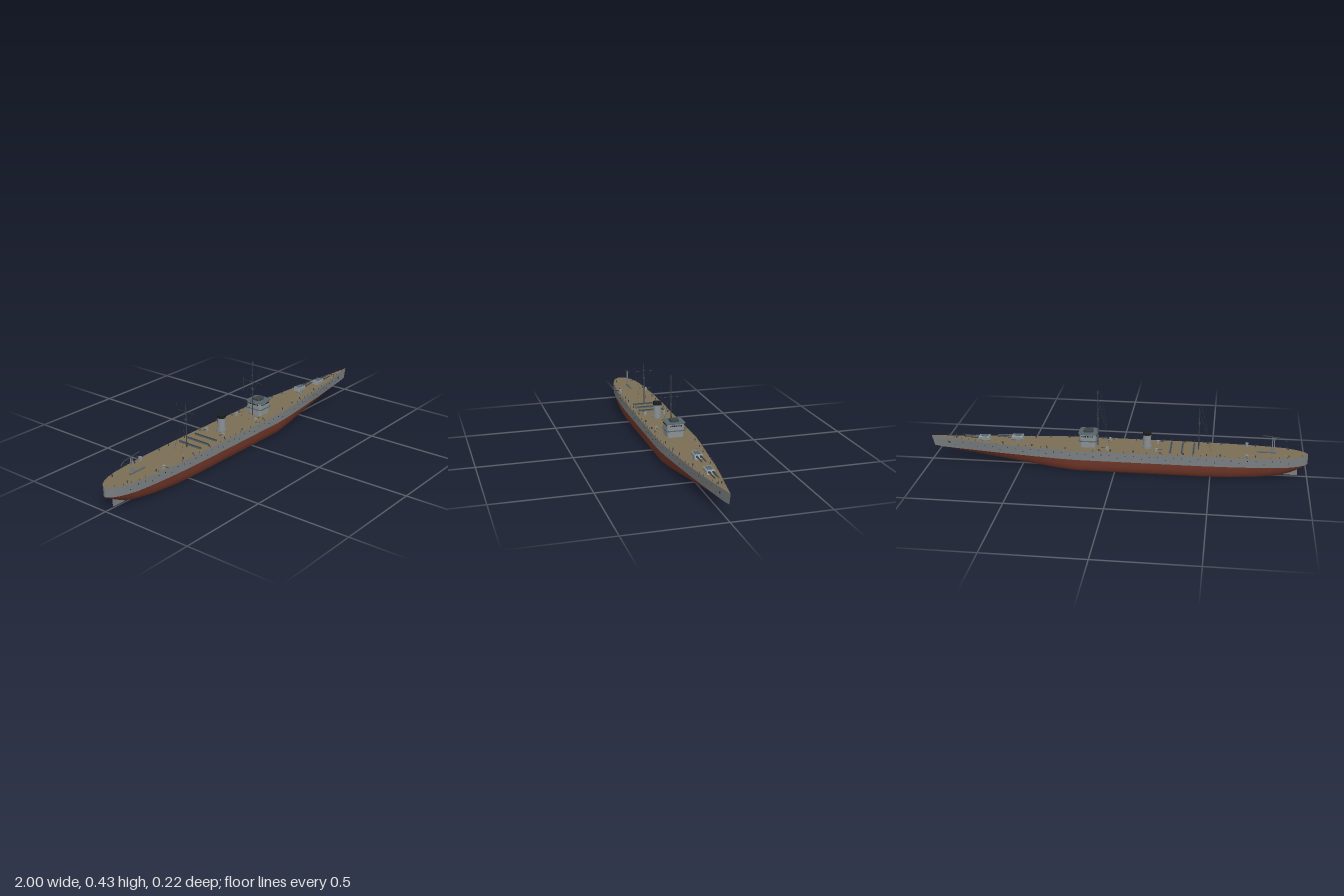
import * as THREE from 'three';
import { mergeGeometries } from 'three/addons/utils/BufferGeometryUtils.js';

const paint = (name, color, side = THREE.FrontSide) => {
  const m = new THREE.MeshStandardMaterial({ color, side });
  m.name = name;
  return m;
};

// Hull stations: x, half beam at deck, half beam at waterline, keel height, V-ness
const STATIONS = [
  [-1, 0, 0, 0.077, 0.6], [-0.995, 0.014, 0.012, 0.074, 0.6], [-0.98, 0.031, 0.028, 0.065, 0.55],
  [-0.95, 0.05, 0.047, 0.048, 0.5], [-0.91, 0.065, 0.062, 0.03, 0.45], [-0.86, 0.077, 0.075, 0.016, 0.35],
  [-0.75, 0.088, 0.087, 0.006, 0.2], [-0.6, 0.096, 0.096, 0.003, 0.05], [-0.45, 0.1, 0.1, 0.003, 0],
  [-0.1, 0.1, 0.1, 0.003, 0], [0.2, 0.1, 0.1, 0.003, 0], [0.3, 0.093, 0.092, 0.006, 0.1],
  [0.42, 0.08, 0.078, 0.012, 0.3], [0.52, 0.07, 0.066, 0.021, 0.45], [0.62, 0.06, 0.054, 0.032, 0.6],
  [0.74, 0.043, 0.036, 0.046, 0.8], [0.86, 0.023, 0.018, 0.064, 0.9], [0.94, 0.01, 0.007, 0.074, 1], [1, 0, 0, 0.081, 1],
];
const FULL = [[0, 0], [0.55, 0], [0.79, 0.09], [0.9, 0.28], [0.97, 0.6], [1, 1]];
const deckY = (x) => 0.128 + (x > 0.4 ? 0.009 * ((x - 0.4) / 0.6) ** 2 : 0);
const lineY = (s) => Math.max(0.077, s[3] + 0.0005);
const halfBeam = (x, col = 1) => {
  const i = Math.max(1, STATIONS.findIndex((s) => s[0] >= x));
  const a = STATIONS[i - 1], b = STATIONS[i];
  return THREE.MathUtils.lerp(a[col], b[col], (x - a[0]) / (b[0] - a[0]));
};

// Skin a surface over the stations; section(s) gives [y, z] points
function loft(section) {
  const pos = [], index = [];
  let n = 0;
  for (const s of STATIONS) {
    const pts = section(s);
    n = pts.length;
    for (const [y, z] of pts) {
      const rake = Math.max(0, s[0] - 0.9) * 2.6 * (deckY(s[0]) - y);
      pos.push(s[0] - rake, y, z);
    }
  }
  for (let i = 0; i < STATIONS.length - 1; i++) for (let j = 0; j < n - 1; j++) {
    const a = i * n + j, b = a + n;
    index.push(a, a + 1, b, b, a + 1, b + 1);
  }
  const g = new THREE.BufferGeometry();
  g.setAttribute('position', new THREE.Float32BufferAttribute(pos, 3));
  g.setIndex(index);
  g.computeVertexNormals();
  return g;
}

export function createModel() {
  const ship = new THREE.Group();
  ship.name = 'warship';
  const grey = paint('hullGrey', 0x7b7f81), red = paint('bottomRed', 0x73382a), wood = paint('deckWood', 0x7b6d54);
  const steel = paint('lightSteel', 0x8a9193), dark = paint('darkSteel', 0x3c4448), roof = paint('roofSlate', 0x56646a);
  const black = paint('black', 0x1b1d1f);

  const add = (name, geo, mat, x = 0, y = 0, z = 0, parent = ship) => {
    const m = new THREE.Mesh(geo, mat);
    m.name = name;
    m.position.set(x, y, z);
    parent.add(m);
    return m;
  };
  const box = (w, h, d) => new THREE.BoxGeometry(w, h, d);
  const cyl = (r1, r2, h, n = 16) => new THREE.CylinderGeometry(r1, r2, h, n);
  const rod = (a, b, r, n = 6, r2 = r) => {
    const A = new THREE.Vector3(...a), B = new THREE.Vector3(...b), d = B.clone().sub(A);
    const g = cyl(r2, r, d.length(), n);
    g.applyQuaternion(new THREE.Quaternion().setFromUnitVectors(new THREE.Vector3(0, 1, 0), d.normalize()));
    const c = A.add(B).multiplyScalar(0.5);
    return g.translate(c.x, c.y, c.z);
  };
  const group = (name, x, y, z) => {
    const g = new THREE.Group();
    g.name = name;
    g.position.set(x, y, z);
    ship.add(g);
    return g;
  };

  // Hull: red bottom, grey sides, wooden deck
  add('hullBottom', loft((s) => {
    const half = FULL.map(([u, v], j) => [
      THREE.MathUtils.lerp(s[3], lineY(s), THREE.MathUtils.lerp(v, j / 5, s[4])),
      s[2] * THREE.MathUtils.lerp(u, j / 5, s[4])]);
    return [...half.slice(1).reverse(), ...half.map(([y, z]) => [y, -z])];
  }), red);
  add('hullSideLeft', loft((s) => [[deckY(s[0]), s[1]], [lineY(s), s[2]]]), grey);
  add('hullSideRight', loft((s) => [[lineY(s), -s[2]], [deckY(s[0]), -s[1]]]), grey);
  add('deck', loft((s) => [[deckY(s[0]), -s[1]], [deckY(s[0]), s[1]]]), wood);

  // Rudder
  add('rudder', box(0.07, 0.045, 0.006), grey, -0.915, 0.033, 0);

  // Railing stanchions, portholes and anchors along both sides
  const posts = [], ports = [];
  for (const s of [-1, 1]) {
    for (let x = -0.97; x < 0.97; x += 0.04) {
      posts.push(box(0.0012, 0.01, 0.0012).translate(x, deckY(x) + 0.005, s * (halfBeam(x) - 0.002)));
    }
    for (let k = 0; k < 44; k++) {
      const x = -0.9 + k * 0.042, y = k % 3 ? 0.113 : 0.099;
      const z = THREE.MathUtils.lerp(halfBeam(x, 2), halfBeam(x), (y - 0.077) / 0.053);
      ports.push(cyl(0.0022, 0.0022, 0.003, 8).rotateX(Math.PI / 2).translate(x, y, s * z));
    }
    add('anchor', box(0.012, 0.012, 0.004), dark, 0.9, 0.108, s * 0.0145);
  }
  add('railPosts', mergeGeometries(posts), dark);
  add('portholes', mergeGeometries(ports), black);

  // Bridge tower with rounded plan
  const slab = (w, d, h, r) => {
    const p = new THREE.Shape(), a = w / 2, b = d / 2;
    p.moveTo(-a + r, -b).lineTo(a - r, -b).quadraticCurveTo(a, -b, a, -b + r).lineTo(a, b - r)
      .quadraticCurveTo(a, b, a - r, b).lineTo(-a + r, b).quadraticCurveTo(-a, b, -a, b - r)
      .lineTo(-a, -b + r).quadraticCurveTo(-a, -b, -a + r, -b);
    return new THREE.ExtrudeGeometry(p, { depth: h, bevelEnabled: false, curveSegments: 4 }).rotateX(-Math.PI / 2);
  };
  const bridge = group('bridge', 0.145, 0.127, 0);
  add('bridgeBase', slab(0.086, 0.09, 0.035, 0.016), steel, 0, 0, 0, bridge);
  add('bridgeWalkway', slab(0.1, 0.104, 0.004, 0.018), roof, 0, 0.034, 0, bridge);
  add('bridgeHouse', slab(0.088, 0.092, 0.035, 0.016), steel, 0, 0.038, 0, bridge);
  add('bridgeRoof', slab(0.1, 0.102, 0.004, 0.018), roof, 0, 0.072, 0, bridge);
  add('roofShelter', slab(0.05, 0.044, 0.01, 0.012), dark, 0, 0.076, 0, bridge);
  for (let k = -3; k <= 3; k++) {
    for (const s of [-1, 1]) {
      add('windowEnd', box(0.002, 0.007, 0.006), black, s * 0.044, 0.062, k * 0.0095, bridge);
      add('windowSide', box(0.006, 0.007, 0.002), black, k * 0.0092, 0.062, s * 0.046, bridge);
    }
  }

  // Funnel
  const funnel = group('funnel', -0.165, 0.127, 0);
  add('funnelBase', cyl(0.026, 0.028, 0.01, 20), grey, 0, 0.005, 0, funnel);
  add('funnelPipe', cyl(0.021, 0.021, 0.072, 20), steel, 0, 0.036, 0, funnel);
  add('funnelCap', cyl(0.023, 0.022, 0.016, 20), black, 0, 0.08, 0, funnel);

  // Masts with lookout, yard and thin rigging
  const mast = (name, x, top, yardY) => {
    const g = group(name, x, 0, 0);
    add('pole', rod([0, 0.127, 0], [0, top, 0], 0.0032, 8, 0.0015), dark, 0, 0, 0, g);
    add('lookout', cyl(0.006, 0.005, 0.01, 10), dark, 0, 0.275, 0, g);
    add('yard', rod([0, yardY, -0.06], [0, yardY, 0.06], 0.0009, 5), dark, 0, 0, 0, g);
    const lines = [];
    for (const s of [-1, 1]) {
      lines.push(rod([0, top - 0.02, 0], [-0.065, 0.13, s * 0.025], 0.0004, 4));
      lines.push(rod([-0.005, top - 0.01, s * 0.058], [-0.045, 0.225, s * 0.024], 0.0004, 4));
    }
    add('rigging', mergeGeometries(lines), dark, 0, 0, 0, g);
    return g;
  };
  const fore = mast('foreMast', 0.095, 0.415, 0.317);
  mast('aftMast', -0.435, 0.36, 0.317);
  for (const y of [0.412, 0.42, 0.427]) add('mastLamp', cyl(0.004, 0.004, 0.004, 8), dark, 0, y, 0, fore);

  // Twin main gun turrets, the rear one raised
  const turret = (x, y, lift) => {
    const g = group('mainTurret', x, y, 0);
    add('barbette', cyl(0.019, 0.02, lift, 20), grey, 0, lift / 2, 0, g);
    const p = new THREE.Shape();
    p.moveTo(-0.03, 0).lineTo(0.032, 0).lineTo(0.026, 0.014).lineTo(-0.026, 0.016).closePath();
    const house = new THREE.ExtrudeGeometry(p, { depth: 0.036, bevelEnabled: true, bevelSize: 0.003, bevelThickness: 0.003, bevelSegments: 1 });
    add('gunHouse', house, steel, 0, lift, -0.018, g);
    add('houseRoof', box(0.04, 0.002, 0.03), roof, -0.002, lift + 0.0185, 0, g);
    for (const s of [-1, 1]) {
      add('barrel', rod([0.02, lift + 0.009, s * 0.01], [0.11, lift + 0.011, s * 0.01], 0.0042, 10, 0.0027), dark, 0, 0, 0, g);
      add('barrelSleeve', rod([0.025, lift + 0.009, s * 0.01], [0.05, lift + 0.01, s * 0.01], 0.0055, 10), dark, 0, 0, 0, g);
    }
  };
  turret(0.527, 0.127, 0.018);
  turret(0.708, 0.129, 0.004);

  // Small deck guns, mirrored on both sides
  const deckGun = (x, z, yaw) => {
    const g = group('deckGun', x, 0.127, z);
    g.rotation.y = yaw;
    add('pedestal', cyl(0.006, 0.009, 0.01, 10), grey, 0, 0.005, 0, g);
    add('shield', box(0.012, 0.01, 0.015), steel, 0.004, 0.012, 0, g);
    add('lightBarrel', rod([0, 0.011, 0], [0.034, 0.013, 0], 0.0017, 6), dark, 0, 0, 0, g);
  };
  for (const s of [-1, 1]) {
    deckGun(-0.685, s * 0.074, -s * Math.PI / 2);
    deckGun(-0.215, s * 0.054, Math.PI);
    deckGun(0.035, s * 0.064, 0);
  }

  // Cross-deck launcher rails amidships
  for (const x of [-0.41, -0.35, -0.29]) {
    add('launcherBed', box(0.012, 0.004, 0.14), roof, x, 0.13, 0);
    add('launcherRail', box(0.005, 0.005, 0.144), dark, x, 0.134, 0);
  }

  // Stern crane and deck hatch
  const crane = group('sternCrane', -0.82, 0.127, 0);
  for (const x of [-0.005, 0.005]) add('cranePost', cyl(0.0025, 0.0035, 0.086, 8), grey, x, 0.043, 0, crane);
  add('craneArm', rod([-0.05, 0.083, 0], [0.055, 0.096, 0], 0.0022), dark, 0, 0, 0, crane);
  add('craneTip', rod([-0.05, 0.083, 0], [-0.07, 0.066, 0], 0.0014), dark, 0, 0, 0, crane);
  add('sternHatch', box(0.1, 0.005, 0.011), roof, -0.785, 0.13, 0);

  // Bollards, vents and lockers
  for (const x of [-0.9, -0.73, -0.55, -0.48, -0.36, -0.24, -0.1, 0.02, 0.08, 0.26, 0.36, 0.44, 0.6]) {
    for (const s of [-1, 1]) {
      const z = s * (halfBeam(x) - 0.018);
      add('bollard', cyl(0.003, 0.003, 0.01, 8), dark, x, deckY(x) + 0.005, z);
      add('locker', box(0.008, 0.006, 0.006), grey, x + 0.02, deckY(x) + 0.003, z * 0.8);
    }
  }
  for (const s of [-1, 1]) add('windlass', cyl(0.004, 0.004, 0.008, 10), dark, 0.86, deckY(0.86) + 0.004, s * 0.008);
  return ship;
}
